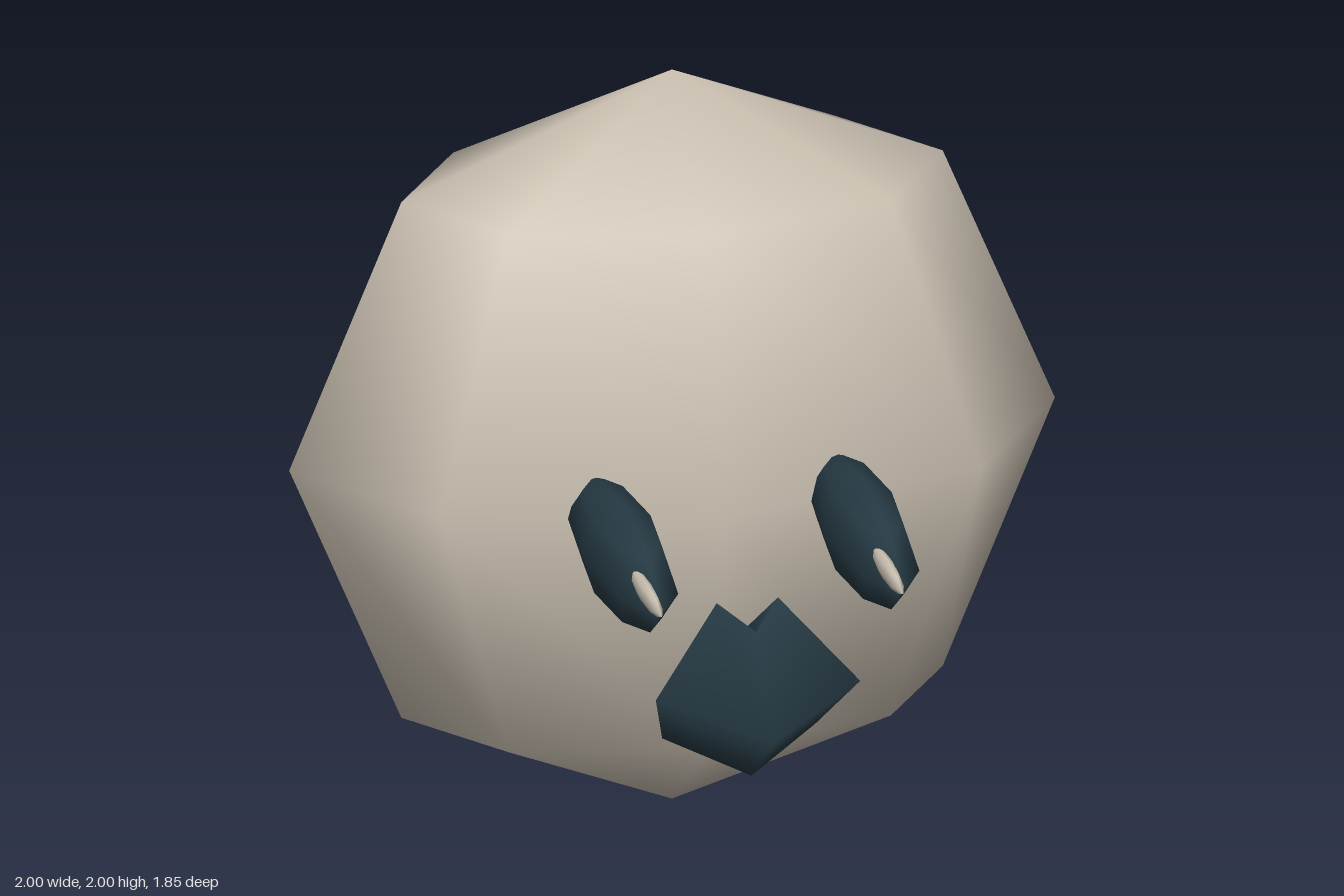
import * as THREE from 'three';

const cream = new THREE.MeshStandardMaterial({ color: 0xcdc3b4 });
cream.name = 'cream';
const darkSlate = new THREE.MeshStandardMaterial({ color: 0x263a44, side: THREE.DoubleSide });
darkSlate.name = 'dark slate';

// Low-poly ball stretched to the given radii
function ball(name, material, radii, position) {
  const mesh = new THREE.Mesh(new THREE.SphereGeometry(1, 8, 4), material);
  mesh.name = name;
  mesh.scale.set(...radii);
  mesh.position.set(...position);
  return mesh;
}

// Open four-sided tube swept through cross-section rings, smooth normals
function tube(rings) {
  const positions = [], normals = [], index = [];
  for (const ring of rings) {
    const points = ring.map((p) => new THREE.Vector3(...p));
    const centre = new THREE.Vector3();
    points.forEach((p) => centre.addScaledVector(p, 1 / points.length));
    for (const p of points) {
      positions.push(p.x, p.y, p.z);
      normals.push(...p.clone().sub(centre).normalize().toArray());
    }
  }
  const n = rings[0].length;
  for (let i = 0; i < rings.length - 1; i++) {
    for (let j = 0; j < n; j++) {
      const a = i * n + j, b = i * n + (j + 1) % n;
      index.push(a, b, b + n, a, b + n, a + n);
    }
  }
  const geometry = new THREE.BufferGeometry();
  geometry.setAttribute('position', new THREE.Float32BufferAttribute(positions, 3));
  geometry.setAttribute('normal', new THREE.Float32BufferAttribute(normals, 3));
  geometry.setIndex(index);
  return geometry;
}

export function createModel() {
  const model = new THREE.Group();
  model.name = 'face';

  // Flattened round head
  model.add(ball('head', cream, [1, 1, 0.573], [0, 1, -0.35]));

  // Long eyes, each with a thin highlight offset to the same side
  for (const side of [-1, 1]) {
    const label = side > 0 ? 'left' : 'right';
    const x = side * 0.315;
    model.add(ball(label + 'Eye', darkSlate, [0.104, 0.14, 0.41], [x, 1, 0.39]));
    model.add(ball(label + 'EyeHighlight', cream, [0.02, 0.028, 0.17], [x - 0.03, 1.045, 0.755]));
  }

  // Mouth: bent square tube, open at both ends
  const end = [[0.08, 0.86, 0.436], [0.267, 0.657, 0.548], [0.2, 0.465, 0.346], [0.013, 0.668, 0.234]];
  const middle = [[0, 0.81, 0.53], [0, 0.577, 0.713], [0, 0.396, 0.479], [0, 0.629, 0.296]];
  const mirrored = end.map(([x, y, z]) => [-x, y, z]);
  const mouth = new THREE.Mesh(tube([mirrored, middle, end]), darkSlate);
  mouth.name = 'mouth';
  model.add(mouth);

  return model;
}
